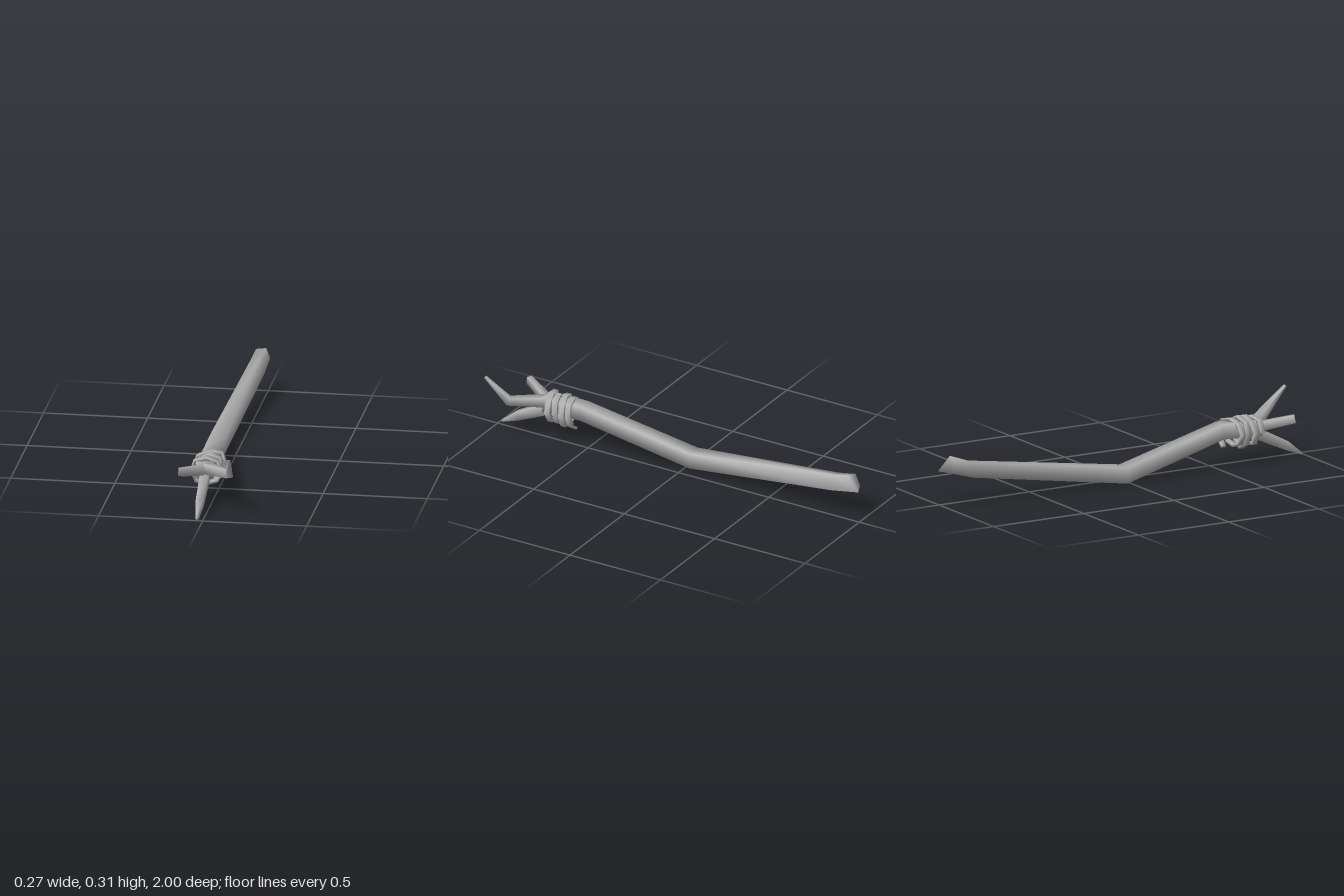
import * as THREE from 'three';

const V = (x, y, z) => new THREE.Vector3(x, y, z);

// Skin a row of equal-sized cross-sections, with both ends closed and smooth normals
function loft(rings) {
  const n = rings[0].length, last = (rings.length - 1) * n, index = [];
  for (let r = 0; r < rings.length - 1; r++) {
    for (let i = 0; i < n; i++) {
      const a = r * n + i, b = r * n + (i + 1) % n;
      index.push(a, b, b + n, a, b + n, a + n);
    }
  }
  for (let i = 1; i < n - 1; i++) {
    index.push(0, i + 1, i, last, last + i, last + i + 1);
  }
  const geo = new THREE.BufferGeometry().setFromPoints(rings.flat());
  geo.setIndex(index);
  geo.computeVertexNormals();
  return geo;
}

// Four-sided tapering limb along a path; each stop is [x, y, z, half width, half height]
function limb(stops) {
  const pts = stops.map(s => V(s[0], s[1], s[2]));
  return loft(stops.map(([, , , w, h], i) => {
    const d = pts[Math.min(i + 1, pts.length - 1)].clone().sub(pts[Math.max(i - 1, 0)]).normalize();
    const side = V(0, 1, 0).cross(d).normalize();
    const up = d.clone().cross(side);
    return [[1, 1], [-1, 1], [-1, -1], [1, -1]].map(([a, b]) =>
      pts[i].clone().addScaledVector(side, a * w).addScaledVector(up, b * h));
  }));
}

export function createModel() {
  const model = new THREE.Group();
  const grey = new THREE.MeshStandardMaterial({ color: 0xb4b4b4, side: THREE.DoubleSide });
  grey.name = 'plain grey';
  const add = (name, geo) => {
    const mesh = new THREE.Mesh(geo, grey);
    mesh.name = name;
    model.add(mesh);
  };

  // Bent square shaft, from the slanted cut at the back to the blunt front
  const square = (x0, x1, y0, y1, z) => [V(x1, y1, z), V(x0, y1, z), V(x0, y0, z), V(x1, y0, z)];
  add('shaft', loft([
    [V(0.0, 0.235, -0.94), V(-0.05, 0.225, -0.95), V(-0.058, 0.165, -0.97), V(0.01, 0.165, -1)],
    [V(-0.02, 0.205, -0.85), V(-0.062, 0.2, -0.85), V(-0.062, 0.13, -0.85), V(0.005, 0.135, -0.85)],
    square(-0.128, -0.05, 0.01, 0.088, -0.03),
    square(-0.068, 0.008, 0.14, 0.212, 0.54),
    square(-0.072, 0.01, 0.132, 0.21, 0.75),
  ]));

  // Three prongs
  add('raisedProng', limb([
    [-0.03, 0.185, 0.66, 0.025, 0.024], [-0.012, 0.182, 0.75, 0.025, 0.024],
    [0.108, 0.203, 0.875, 0.017, 0.02], [0.125, 0.306, 0.995, 0.007, 0.005],
  ]));
  add('loweredProng', limb([
    [-0.03, 0.155, 0.66, 0.022, 0.025], [-0.03, 0.133, 0.75, 0.021, 0.027],
    [-0.029, 0.06, 0.9, 0.018, 0.022], [-0.028, 0.007, 0.99, 0.007, 0.005],
  ]));
  add('straightProng', limb([
    [-0.025, 0.165, 0.68, 0.022, 0.024], [-0.045, 0.173, 0.75, 0.02, 0.022],
    [-0.122, 0.208, 0.9, 0.013, 0.019],
  ]));

  // Flat cord wound round the front of the shaft, loosening towards its end
  const perTurn = 8, steps = 29, rings = [];
  for (let i = 0; i <= steps; i++) {
    const t = i / steps, turn = i / perTurn;
    const a = Math.PI * (1 - 2 * turn);
    const r = 0.07 + 0.007 * Math.sin(i * 1.9);
    const out = V(Math.cos(a), Math.sin(a), 0);
    const c = V(-0.026, 0.157, 0.725 - 0.135 * t - 0.14 * r * Math.cos(a)).addScaledVector(out, r);
    rings.push([[1, 1], [-1, 1], [-1, -1], [1, -1]].map(([u, w]) =>
      c.clone().addScaledVector(out, u * 0.008).add(V(0, 0, w * 0.013))));
  }
  add('cordWrap', loft(rings));

  // Loose end of the cord
  add('cordEnd', limb([
    [0.045, 0.16, 0.59, 0.013, 0.008], [0.035, 0.115, 0.58, 0.013, 0.008],
    [-0.005, 0.088, 0.575, 0.012, 0.007],
  ]));

  return model;
}
